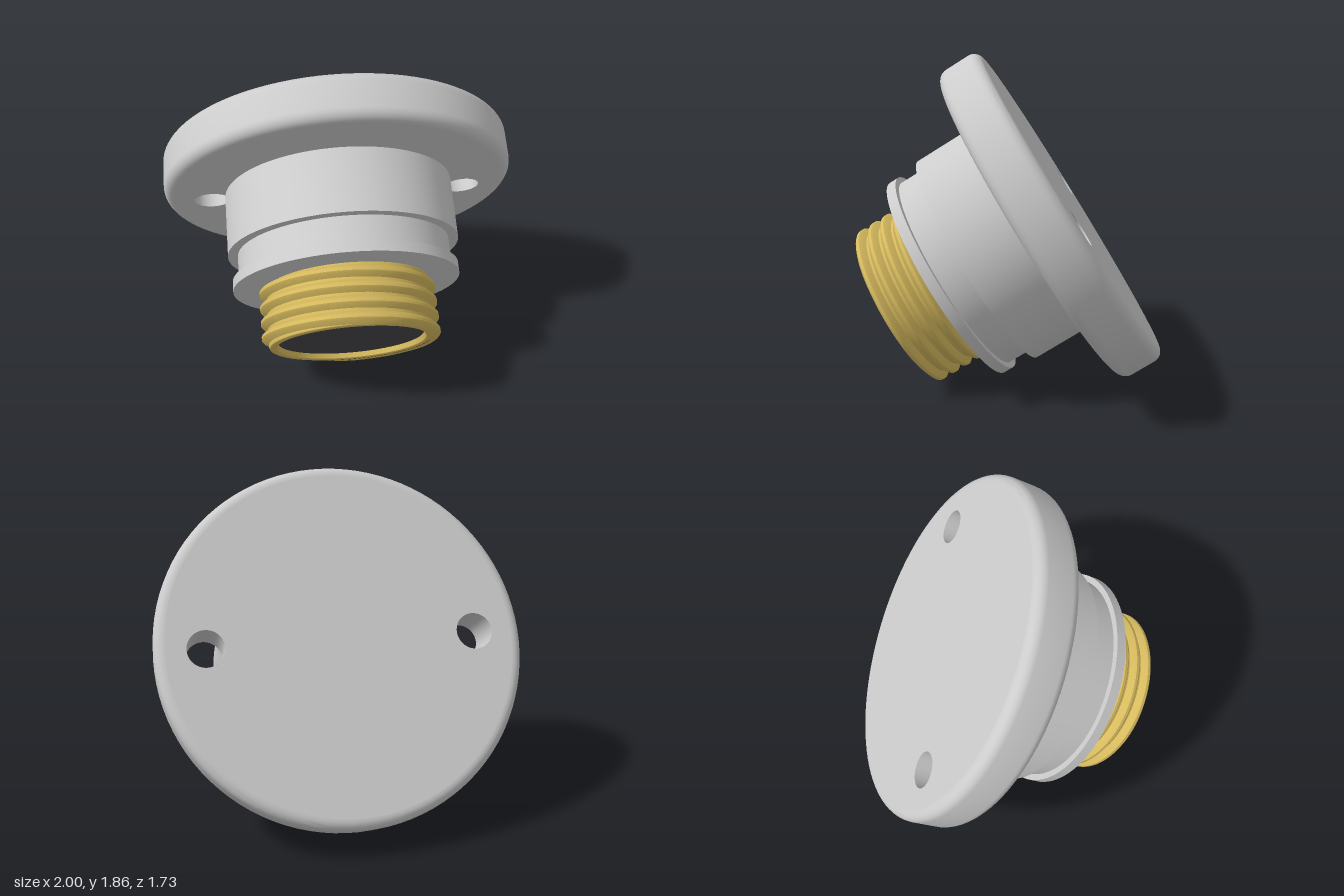
import * as THREE from 'three';
import { toCreasedNormals } from 'three/addons/utils/BufferGeometryUtils.js';

const grey = new THREE.MeshStandardMaterial({ color: 0xcccccc, side: THREE.DoubleSide });
const brass = new THREE.MeshStandardMaterial({ color: 0xd6ba5e });
const dark = new THREE.MeshStandardMaterial({ color: 0x454549 });

function mesh(name, geometry, material) {
  const m = new THREE.Mesh(geometry, material);
  m.name = name;
  return m;
}

// Turned part with sharp edges; profile points are [radius, height]
function turned(points, segments = 96) {
  const profile = points.map(([r, y]) => new THREE.Vector2(r, y));
  return toCreasedNormals(new THREE.LatheGeometry(profile, segments), 0.6);
}

// Round disc with a filleted rim and two straight pin holes
function createFlange() {
  const flange = new THREE.Group();
  flange.name = 'flange';
  const back = -0.86, front = -0.595, fillet = 0.06, holeX = 0.73, holeR = 0.1;

  const rim = [];
  for (const [y, start] of [[back + fillet, -Math.PI / 2], [front - fillet, 0]]) {
    for (let i = 0; i <= 8; i++) {
      const a = start + (i / 8) * Math.PI / 2;
      rim.push([1 - fillet + fillet * Math.cos(a), y + fillet * Math.sin(a)]);
    }
  }
  flange.add(mesh('flangeRim', turned(rim), grey));

  const face = new THREE.Shape().absarc(0, 0, 1 - fillet, 0, Math.PI * 2);
  for (const side of [-1, 1]) {
    face.holes.push(new THREE.Path().absarc(side * holeX, 0, holeR, 0, Math.PI * 2, true));
  }
  for (const [name, y, turn] of [['flangeBack', back, 1], ['flangeFront', front, -1]]) {
    const g = new THREE.ShapeGeometry(face, 48).rotateX(turn * Math.PI / 2).translate(0, y, 0);
    flange.add(mesh(name, g, grey));
  }
  for (const side of [-1, 1]) {
    const wall = new THREE.CylinderGeometry(holeR, holeR, front - back, 48, 1, true);
    wall.translate(side * holeX, (front + back) / 2, 0);
    flange.add(mesh('pinHole', wall, grey));
  }
  return flange;
}

// Helical ridge: a rounded cross-section swept around the core
function createThread() {
  const section = [[-0.04, 0], [-0.016, 0.85], [-0.008, 1], [0.008, 1], [0.016, 0.85], [0.04, 0]];
  const root = 0.445, depth = 0.047, pitch = 0.082, start = 0.012;
  const from = -0.55, to = 3.55, steps = 400, n = section.length;
  const positions = [], index = [];
  for (let i = 0; i <= steps; i++) {
    const turns = from + (to - from) * i / steps;
    const a = turns * Math.PI * 2;
    const taper = Math.min(1, (to - turns) / 0.06);
    section.forEach(([ds, h], j) => {
      const r = root + depth * h * taper;
      const s = THREE.MathUtils.clamp(start + pitch * turns + ds, -0.035, 0.3);
      positions.push(r * Math.sin(a), s, -r * Math.cos(a));
      if (i < steps && j < n - 1) {
        const p = i * n + j, q = p + n;
        index.push(p, p + 1, q, p + 1, q + 1, q);
      }
    });
  }
  const g = new THREE.BufferGeometry();
  g.setAttribute('position', new THREE.Float32BufferAttribute(positions, 3));
  g.setIndex(index);
  return toCreasedNormals(g, 0.7);
}

export function createModel() {
  const model = new THREE.Group();
  model.name = 'threadedPlug';

  // Everything is built along the plug axis, then tilted forward and down
  const plug = new THREE.Group();
  plug.name = 'plug';
  plug.rotation.x = THREE.MathUtils.degToRad(122);
  plug.position.set(0, 0.577, 0.357);
  model.add(plug);

  plug.add(createFlange());

  // Barrel, groove and collar
  plug.add(mesh('barrel', turned([
    [0, -0.595], [0.655, -0.595], [0.655, -0.238], [0.6, -0.238],
    [0.6, -0.09], [0.635, -0.09], [0.635, -0.032], [0, -0.032],
  ]), grey));

  // Brass core with a rounded end lip
  plug.add(mesh('threadCore', turned([
    [0.455, -0.034], [0.455, 0.285], [0.45, 0.295], [0.44, 0.3],
    [0.42, 0.3], [0.412, 0.295], [0.4, 0.262],
  ]), brass));
  plug.add(mesh('thread', createThread(), brass));

  // Dark recessed insert
  const insert = new THREE.CircleGeometry(0.402, 96).rotateX(-Math.PI / 2).translate(0, 0.268, 0);
  plug.add(mesh('insert', insert, dark));

  return model;
}
